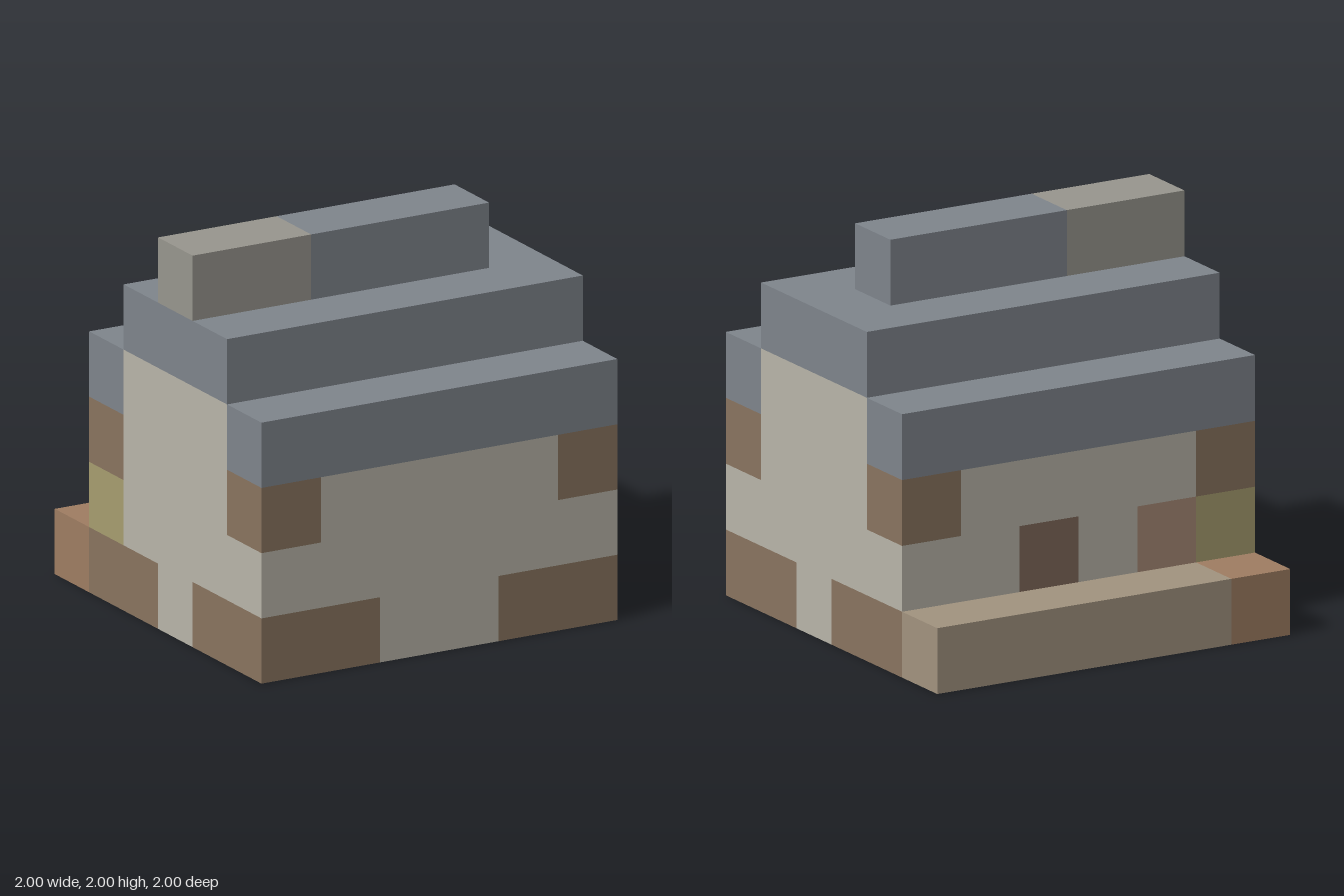
import * as THREE from 'three';

// Cottage laid out on a 6 x 6 x 6 grid of blocks
const N = 6, S = 2 / N;

const COLORS = {
  walls: 0xbab6aa,
  timberBlocks: 0x8a7560,
  roof: 0x80868d,
  chimney: 0x99978f,
  floor: 0x4a4038,
  step: 0xa39480,
  stepEnd: 0xa07e63,
  door: 0x806a5a,
  wallPatch: 0xa88a76,
  cornerPatch: 0xa89f70,
};

// Which part fills block (i, j, k) = (x, y, z), or null when empty
function partAt(i, j, k) {
  if ([i, j, k].some((n) => n < 0 || n >= N)) return null;

  // step along the back
  if (k === 0) return j > 0 ? null : i === 0 ? 'stepEnd' : 'step';

  // chimney and stepped roof
  if (j === 5) return k !== 3 || i === 5 ? null : i < 2 ? 'chimney' : 'roof';
  if (j === 4) return k >= 2 && k <= 4 ? 'roof' : null;
  if (j === 3 && (k === 1 || k === 5)) return 'roof';

  // floor, hearth column and hollow room
  const side = i === 0 || i === 5, end = k === 1 || k === 5;
  if (!side && !end) {
    if (i === 1 && k === 3 && j > 0) return 'chimney';
    return j === 0 ? 'floor' : null;
  }

  // walls with timber at the base and upper corners
  if (j === 0) return k === 3 || (k === 5 && (i === 2 || i === 3)) ? 'walls' : 'timberBlocks';
  if (j === 2 && side && end) return 'timberBlocks';
  if (j === 1 && k === 1) {
    if (i === 0) return 'cornerPatch';
    if (i === 1) return 'wallPatch';
    if (i === 3) return 'door';
  }
  return 'walls';
}

// Block faces: outward direction and the two in-plane axes (u x v = n); the base is open
const FACES = [
  { n: [1, 0, 0], u: [0, 1, 0], v: [0, 0, 1] },
  { n: [-1, 0, 0], u: [0, 0, 1], v: [0, 1, 0] },
  { n: [0, 1, 0], u: [0, 0, 1], v: [1, 0, 0] },
  { n: [0, -1, 0], u: [1, 0, 0], v: [0, 0, 1] },
  { n: [0, 0, 1], u: [1, 0, 0], v: [0, 1, 0] },
  { n: [0, 0, -1], u: [0, 1, 0], v: [1, 0, 0] },
];

function addFace(buffer, cell, { n, u, v }) {
  const corner = (a, b) => cell.map((c, d) =>
    (c + 0.5 + n[d] / 2 + u[d] * a + v[d] * b) * S - (d === 1 ? 0 : 1));
  const p = [corner(-0.5, -0.5), corner(0.5, -0.5), corner(0.5, 0.5), corner(-0.5, 0.5)];
  for (const q of [0, 1, 2, 0, 2, 3]) {
    buffer.position.push(...p[q]);
    buffer.normal.push(...n);
  }
}

export function createModel() {
  const group = new THREE.Group();
  group.name = 'cottage';

  // collect the exposed faces of every part
  const buffers = {};
  for (let i = 0; i < N; i++) for (let j = 0; j < N; j++) for (let k = 0; k < N; k++) {
    const part = partAt(i, j, k);
    if (!part) continue;
    buffers[part] ??= { position: [], normal: [] };
    for (const face of FACES) {
      const [dx, dy, dz] = face.n;
      if (j + dy < 0 || partAt(i + dx, j + dy, k + dz)) continue;
      addFace(buffers[part], [i, j, k], face);
    }
  }

  for (const [part, { position, normal }] of Object.entries(buffers)) {
    const geometry = new THREE.BufferGeometry();
    geometry.setAttribute('position', new THREE.Float32BufferAttribute(position, 3));
    geometry.setAttribute('normal', new THREE.Float32BufferAttribute(normal, 3));
    const material = new THREE.MeshStandardMaterial({ color: COLORS[part], side: THREE.DoubleSide });
    const mesh = new THREE.Mesh(geometry, material);
    mesh.name = part;
    group.add(mesh);
  }
  return group;
}
